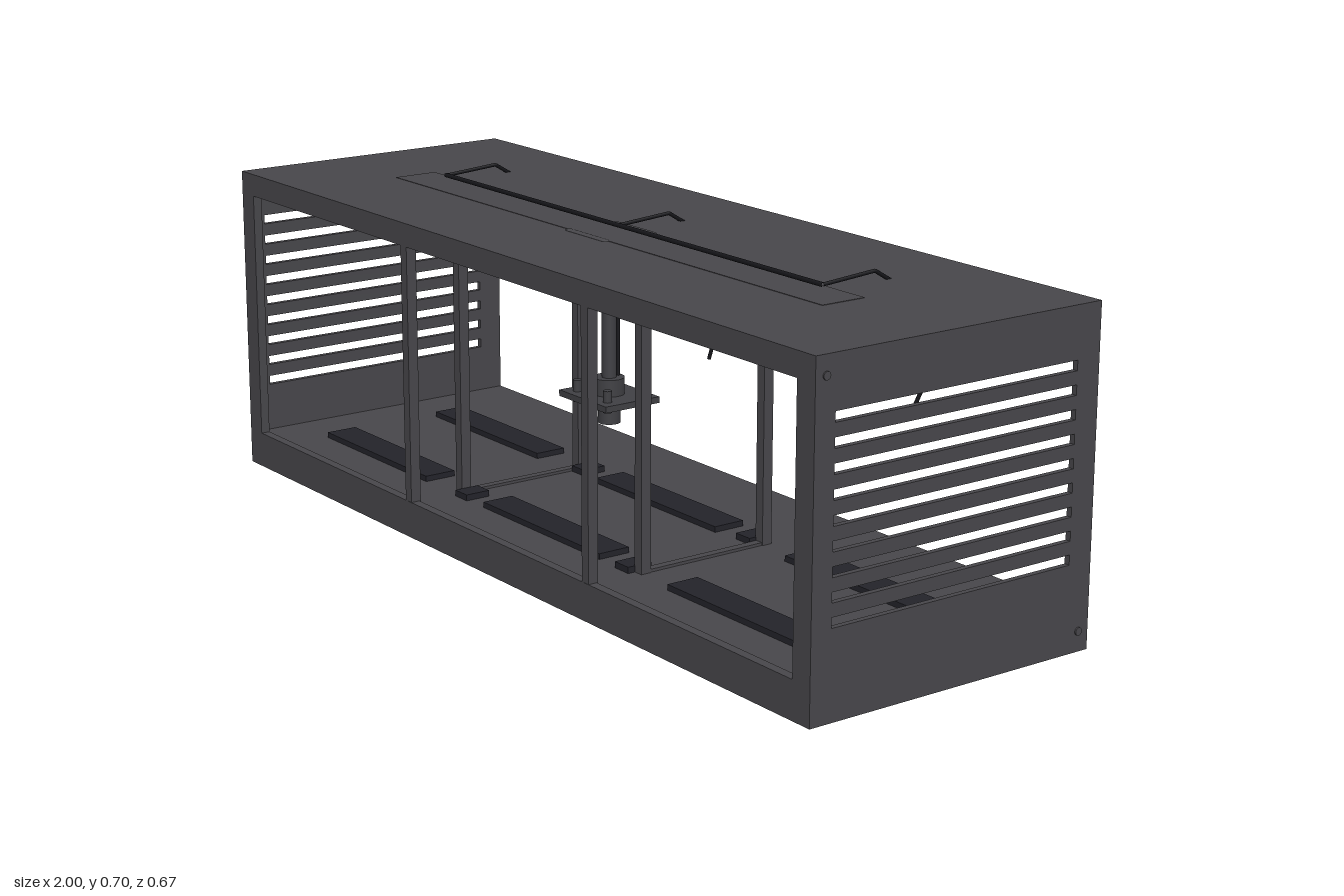
import * as THREE from 'three';

export function createModel() {
  const group = new THREE.Group();
  const mat = (name, color) => {
    const m = new THREE.MeshStandardMaterial({ color });
    m.name = name;
    return m;
  };
  const steel = mat('dark grey steel', 0x48474b);
  const fixture = mat('fixture grey', 0x404044);
  const pad = mat('charcoal pad', 0x23232a);
  const cable = mat('black cable', 0x16161a);

  const add = (name, geo, m, x = 0, y = 0, z = 0) => {
    const mesh = new THREE.Mesh(geo, m);
    mesh.name = name;
    mesh.position.set(x, y, z);
    group.add(mesh);
    return mesh;
  };
  // Box given by its lower and upper limits
  const box = (name, m, x0, x1, y0, y1, z0, z1) =>
    add(name, new THREE.BoxGeometry(x1 - x0, y1 - y0, z1 - z0), m,
      (x0 + x1) / 2, (y0 + y1) / 2, (z0 + z1) / 2);
  const cyl = (name, m, r, y0, y1, x, z, n = 24) =>
    add(name, new THREE.CylinderGeometry(r, r, y1 - y0, n), m, x, (y0 + y1) / 2, z);

  const W = 0.997, H = 0.674, D = 0.337, T = 0.012;

  // Floor, roof and front frame
  box('floor', steel, -W + T, W - T, 0, 0.072, -D, D);
  box('roof', steel, -W + T, W - T, H - T, H, -D, D);
  box('frontTopRail', steel, -0.948, 0.948, 0.625, H - T, D - 0.02, D);
  box('frontSill', steel, -0.948, 0.948, 0.072, 0.078, D - 0.02, D);
  for (const s of [-1, 1]) {
    const [a, b] = s < 0 ? [-W + T, -0.948] : [0.948, W - T];
    box('frontSideRail', steel, a, b, 0.072, H - T, D - 0.02, D);
  }

  // End panels with nine vent slots
  const panel = new THREE.Shape();
  const rect = (p, x0, y0, x1, y1) =>
    p.moveTo(x0, y0).lineTo(x1, y0).lineTo(x1, y1).lineTo(x0, y1).closePath();
  rect(panel, -D, 0, D, H);
  for (let i = 0; i < 9; i++) {
    const y = 0.177 + i * 0.0466;
    const slot = new THREE.Path();
    rect(slot, -0.282, y, 0.291, y + 0.02);
    panel.holes.push(slot);
  }
  const panelGeo = new THREE.ExtrudeGeometry(panel, { depth: T, bevelEnabled: false });
  panelGeo.rotateY(-Math.PI / 2);
  add('leftVentPanel', panelGeo, steel, W, 0, 0);
  add('rightVentPanel', panelGeo, steel, -W + T, 0, 0);

  // Bolts on the end panels
  for (const s of [-1, 1])
    for (const [y, z] of [[0.636, 0.313], [0.041, -0.312]]) {
      const bolt = add('bolt', new THREE.CylinderGeometry(0.008, 0.008, 0.006, 20), steel, s * 0.997, y, z);
      bolt.rotation.z = Math.PI / 2;
    }

  // Inner posts and their cross rails
  for (const x of [-0.32, 0.32]) {
    for (const z of [0.325, 0.199, -0.102])
      box('post', steel, x - 0.011, x + 0.011, 0.072, H - T, z - 0.0115, z + 0.0115);
    box('floorCrossRail', steel, x - 0.009, x + 0.009, 0.07, 0.078, -0.102, 0.199);
    box('ceilingCrossRail', steel, x - 0.011, x + 0.011, 0.634, 0.656, -0.102, 0.199);
    for (const z of [0.199, -0.102]) {
      const c = x - Math.sign(x) * 0.032;
      box('footPad', pad, c - 0.022, c + 0.022, 0.072, 0.085, z - 0.028, z + 0.028);
    }
  }
  for (const z of [0.199, -0.102])
    box('ceilingRail', steel, -W + T, W - T, 0.634, 0.656, z - 0.011, z + 0.011);

  // Floor mats in two rows of three
  for (const z of [0.187, -0.102])
    for (const x of [-0.64, 0, 0.64])
      box('floorMat', pad, x - 0.208, x + 0.208, 0.07, 0.084, z - 0.036, z + 0.036);

  // Thin roof plate and its two rounded handles
  box('roofPlate', steel, -0.73, 0.73, H - 0.004, H + 0.001, 0, 0.1);
  for (const z of [0.102, -0.014]) {
    const handle = add('roofSlotCover', new THREE.CapsuleGeometry(0.009, 0.122, 6, 16), steel, 0, H, z);
    handle.rotation.z = Math.PI / 2;
    handle.scale.set(0.3, 1, 1);
  }

  // Roof conduit with three branches, each dropping inside as a loose cable
  const run = (name, points, r) => {
    const path = new THREE.CurvePath();
    const v = points.map((p) => new THREE.Vector3(...p));
    for (let i = 1; i < v.length; i++) path.add(new THREE.LineCurve3(v[i - 1], v[i]));
    add(name, new THREE.TubeGeometry(path, 48, r, 8), cable);
  };
  run('roofConduit', [[-0.643, 0.685, 0.025], [0.643, 0.685, 0.025]], 0.005);
  for (const x of [-0.64, 0, 0.64]) {
    const end = x === 0 ? 0.37 : 0.41;
    run('conduitBranch', [[x, 0.685, 0.025], [x, 0.694, -0.102], [x, 0.668, -0.145]], 0.004);
    run('hangingCable', [[x, 0.668, -0.145], [x, 0.62, -0.225], [x + 0.027, 0.49, -0.224], [x, end, -0.208]], 0.004);
  }

  // Hanging fixture: pole, hub, square plate with knobs, lower barrel
  const fz = 0.049;
  cyl('fixturePole', fixture, 0.015, 0.36, 0.662, 0, fz);
  cyl('fixtureCable', cable, 0.004, 0.36, 0.662, 0, 0.026, 10);
  cyl('fixtureHub', fixture, 0.032, 0.338, 0.373, 0, fz);
  box('fixturePlate', fixture, -0.082, 0.082, 0.325, 0.338, fz - 0.067, fz + 0.067);
  cyl('fixtureBarrel', fixture, 0.023, 0.277, 0.325, 0, fz);
  for (const x of [-0.053, 0.053])
    for (const z of [-0.042, 0.042])
      cyl('fixtureKnob', fixture, 0.009, 0.316, 0.362, x, fz + z, 14);

  return group;
}
